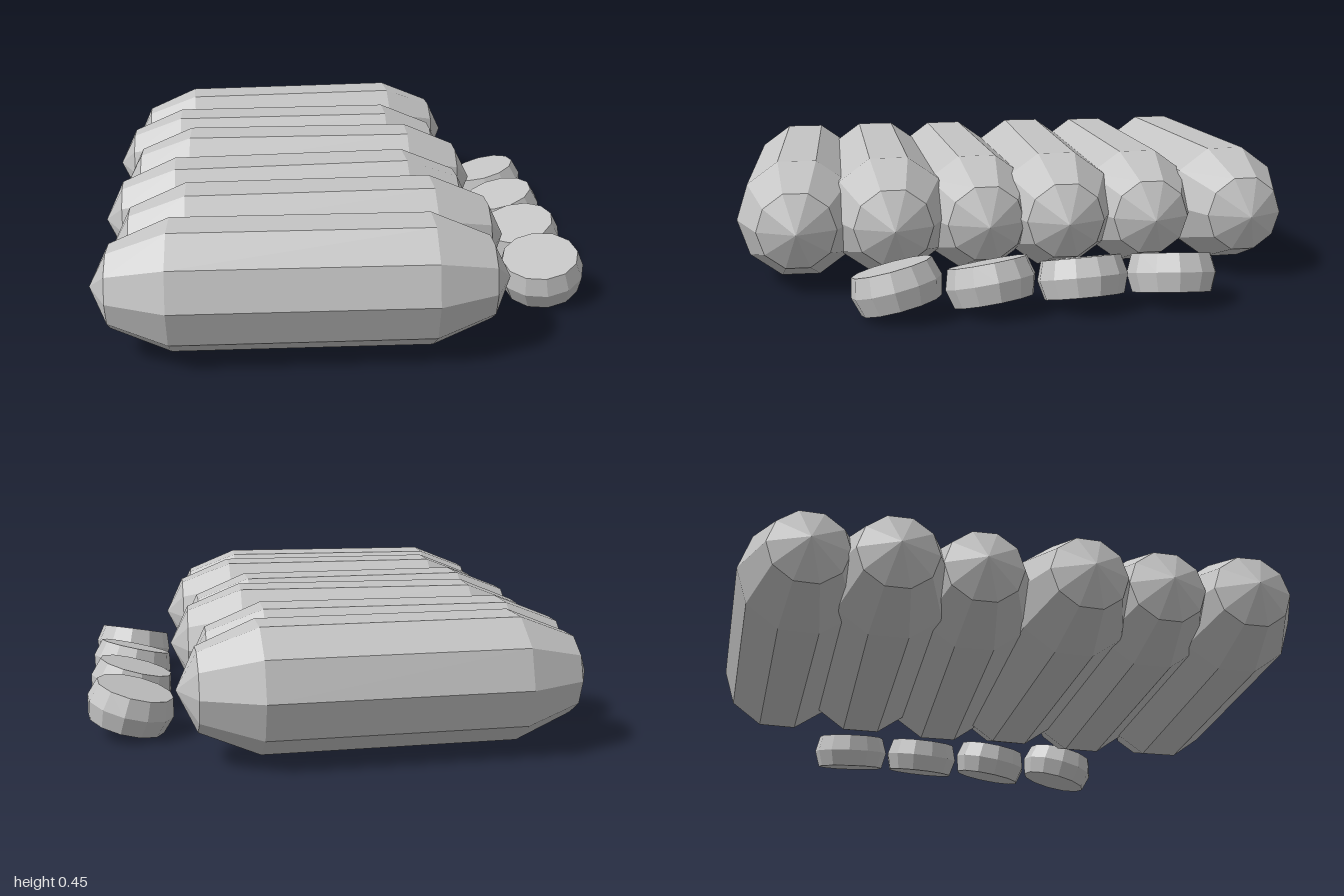
import * as THREE from 'three';

const grey = new THREE.MeshStandardMaterial({ color: 0xc4c4c4 });
grey.name = 'plainGrey';

// Faceted solid of revolution from [radius, height] points
function facetedLathe(points, sides) {
  const profile = points.map(([r, y]) => new THREE.Vector2(r, y));
  const geometry = new THREE.LatheGeometry(profile, sides).toNonIndexed();
  geometry.computeVertexNormals();
  return geometry;
}

export function createModel() {
  const model = new THREE.Group();
  model.name = 'rollsAndDiscs';

  // Long rolls with tapered, pointed ends, lying along x
  const half = [[0.218, 0.425], [0.137, 0.62], [0, 0.685]];
  const mirrored = half.map(([r, y]) => [r, -y]).reverse();
  const rollGeometry = facetedLathe([...mirrored, ...half], 10);
  rollGeometry.rotateZ(-Math.PI / 2);

  // z of the right-hand and left-hand tip of each roll, back to front
  const tips = [[-0.75, -0.8], [-0.47, -0.465], [-0.18, -0.14], [0.17, 0.13], [0.46, 0.46], [0.745, 0.79]];
  tips.forEach(([zA, zB], i) => {
    const roll = new THREE.Mesh(rollGeometry, grey);
    roll.name = `roll${i + 1}`;
    const even = i % 2 === 0;
    roll.position.set(even ? -0.127 : -0.175, even ? 0.242 : 0.232, (zA + zB) / 2);
    roll.rotation.y = -Math.atan2(zB - zA, 1.37);
    model.add(roll);
  });

  // Small bevelled discs, each leaning against the next
  const discGeometry = facetedLathe(
    [[0, -0.065], [0.135, -0.065], [0.153, 0], [0.135, 0.065], [0, 0.065]], 12);
  const turns = [-7, 10, 32, 55];
  turns.forEach((turn, i) => {
    const disc = new THREE.Mesh(discGeometry, grey);
    disc.name = `disc${i + 1}`;
    disc.position.set(0.705, 0.1, -0.46 + i * 0.31);
    disc.rotation.set(0, THREE.MathUtils.degToRad(turn), THREE.MathUtils.degToRad(16), 'YXZ');
    model.add(disc);
  });

  return model;
}
